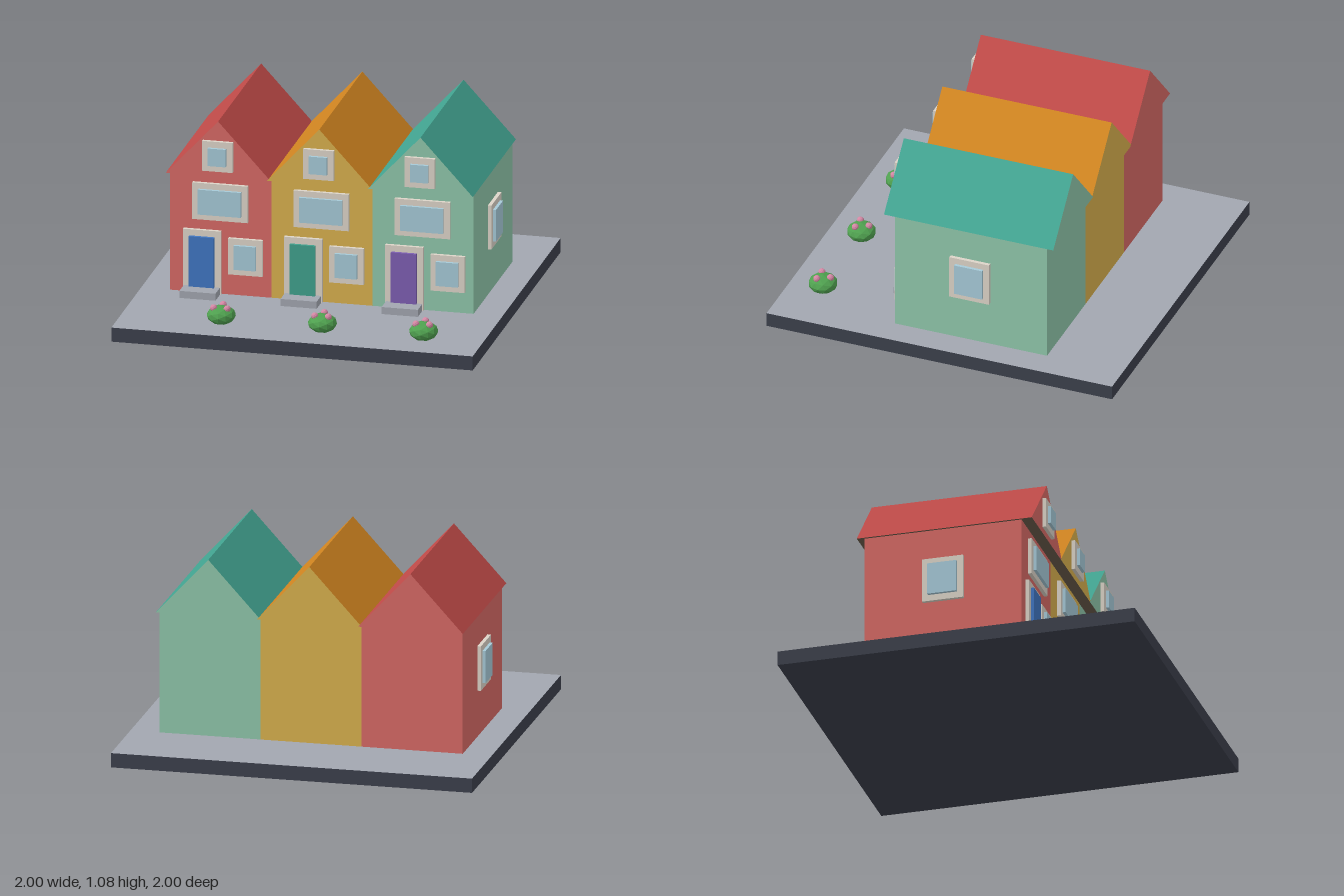
import * as THREE from 'three';

const mat = (color) => new THREE.MeshStandardMaterial({ color, flatShading: true });
const FRAME = mat(0xdcd4c8), GLASS = mat(0xa6cad8), STONE = mat(0xa2a6b0);
const DARK = mat(0x3c404c), LEAF = mat(0x4fa04f), PETAL = mat(0xd487a4), EAVE = mat(0x6b5c4c);
const BASE = 0.08, EAVES = 0.765, RIDGE = 1.08, WALL_Z = 0.32, GABLE_Z = 0.38, BACK_Z = -0.6;

// Box given by its min and max corners
function box(name, material, [x0, y0, z0], [x1, y1, z1]) {
  const mesh = new THREE.Mesh(new THREE.BoxGeometry(x1 - x0, y1 - y0, z1 - z0), material);
  mesh.position.set((x0 + x1) / 2, (y0 + y1) / 2, (z0 + z1) / 2);
  mesh.name = name;
  return mesh;
}

// Frame with a raised panel, facing +z with its back at z = 0
function framed(name, w, h, panelW, panelH, panel = GLASS) {
  const g = new THREE.Group();
  g.name = name;
  g.add(box('frame', FRAME, [-w / 2, -h / 2, 0], [w / 2, h / 2, 0.02]));
  g.add(box('panel', panel, [-panelW / 2, -panelH / 2, 0.01], [panelW / 2, panelH / 2, 0.037]));
  return g;
}

// Gable ends in wall colour, sloping faces in roof colour, plain underside
function roof(wall, tiles) {
  const g = new THREE.Group();
  g.name = 'roof';
  const hw = 0.29;
  const shape = new THREE.Shape();
  shape.moveTo(-hw, EAVES);
  shape.lineTo(hw, EAVES);
  shape.lineTo(0, RIDGE);
  shape.closePath();
  for (const back of [false, true]) {
    const gable = new THREE.Mesh(new THREE.ShapeGeometry(shape), wall);
    gable.name = back ? 'backGable' : 'frontGable';
    gable.position.z = back ? BACK_Z : GABLE_Z;
    if (back) gable.rotation.y = Math.PI;
    g.add(gable);
  }
  const depth = GABLE_Z - BACK_Z, mid = (GABLE_Z + BACK_Z) / 2;
  const rise = RIDGE - EAVES, length = Math.hypot(hw, rise);
  for (const s of [-1, 1]) {
    const slope = new THREE.Mesh(new THREE.PlaneGeometry(length, depth).rotateX(-Math.PI / 2), tiles);
    slope.name = s < 0 ? 'rightSlope' : 'leftSlope';
    slope.rotation.z = -s * Math.atan2(rise, hw);
    slope.position.set(s * hw / 2, (EAVES + RIDGE) / 2, mid);
    g.add(slope);
  }
  const under = new THREE.Mesh(new THREE.PlaneGeometry(2 * hw, depth).rotateX(Math.PI / 2), EAVE);
  under.name = 'eaves';
  under.position.set(0, EAVES, mid);
  g.add(under);
  return g;
}

function bush() {
  const g = new THREE.Group();
  g.name = 'bush';
  const leaves = new THREE.Mesh(new THREE.IcosahedronGeometry(0.08, 1), LEAF);
  leaves.name = 'leaves';
  leaves.scale.y = 0.65;
  g.add(leaves);
  for (let i = 0; i < 3; i++) {
    const a = -Math.PI / 2 + i * Math.PI * 2 / 3;
    const flower = new THREE.Mesh(new THREE.IcosahedronGeometry(0.02, 1), PETAL);
    flower.name = 'flower';
    flower.position.set(Math.cos(a) * 0.043, 0.043, Math.sin(a) * 0.043);
    g.add(flower);
  }
  return g;
}

function house(wallColor, roofColor, doorColor) {
  const g = new THREE.Group();
  g.name = 'house';
  const wall = mat(wallColor);
  g.add(box('walls', wall, [-0.28, BASE, -0.56], [0.28, EAVES - 0.001, WALL_Z]));
  g.add(roof(wall, mat(roofColor)));
  const place = (part, x, y, z) => { part.position.set(x, y, z); g.add(part); };
  place(framed('gableWindow', 0.168, 0.17, 0.1, 0.1), 0, 0.885, GABLE_Z);
  place(framed('upperWindow', 0.306, 0.208, 0.238, 0.142), 0, 0.604, WALL_Z);
  place(framed('lowerWindow', 0.19, 0.205, 0.122, 0.137), 0.14, 0.303, WALL_Z);
  place(framed('doorFrame', 0.21, 0.36, 0.14, 0.29, mat(doorColor)), -0.1, 0.26, WALL_Z);
  g.add(box('doorstep', STONE, [-0.2, BASE, WALL_Z], [0, 0.12, 0.44]));
  place(bush(), 0.12, 0.132, 0.8);
  return g;
}

export function createModel() {
  const model = new THREE.Group();
  model.name = 'terracedHouses';

  // Ground slab with paved top
  const slab = box('groundSlab', DARK, [-1, 0, -1], [1, BASE, 1]);
  slab.material = [DARK, DARK, STONE, DARK, DARK, DARK];
  model.add(slab);

  // Row of houses: wall, roof and door colours
  [
    [0xd66965, 0xbf4a48, 0x4076c2],
    [0xd8b04e, 0xd08420, 0x40a08c],
    [0x8fc6aa, 0x42a491, 0x7d5eb2],
  ].forEach((colors, i) => {
    const h = house(...colors);
    h.position.x = (i - 1) * 0.56;
    model.add(h);
  });

  // Windows in the two end walls
  for (const s of [-1, 1]) {
    const w = framed('sideWindow', 0.23, 0.25, 0.162, 0.18);
    w.rotation.y = s * Math.PI / 2;
    w.position.set(s * 0.84, 0.464, -0.117);
    model.add(w);
  }
  return model;
}
